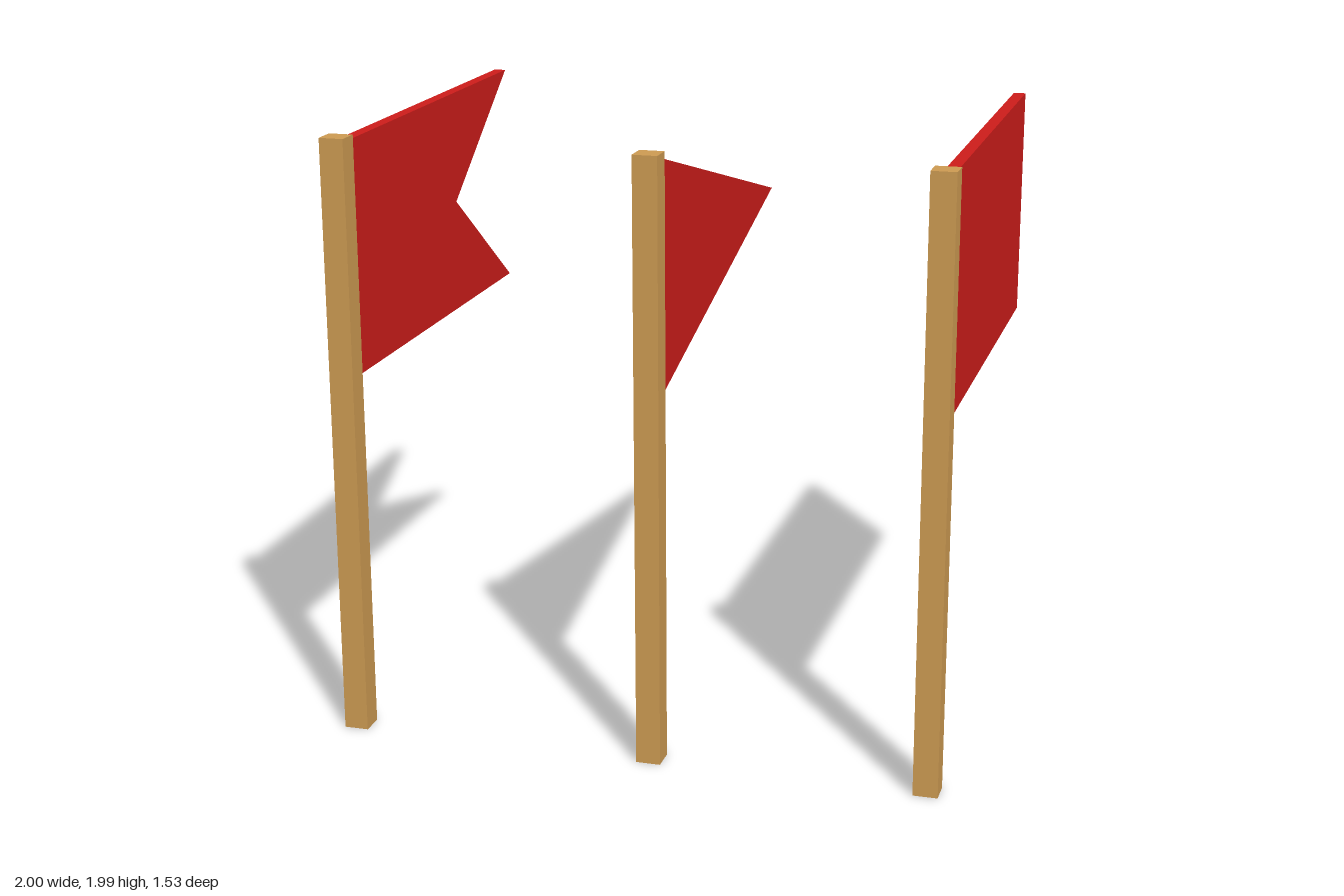
import * as THREE from 'three';

const POLE = 0.08, HEIGHT = 1.99, THICK = 0.04;
const POLE_Z = 0.725, FLAG_Z = POLE_Z - POLE / 2; // flags fly from the back of the pole
const LENGTH = 1.45, TOP = 1.97, BOTTOM = 1.2, MID = (TOP + BOTTOM) / 2;

// Flag outlines: distance from the pole, height
const flags = [
  { name: 'swallowtailFlag', x: -0.96, outline: [[0, BOTTOM], [LENGTH, BOTTOM], [0.92, MID], [LENGTH, TOP], [0, TOP]] },
  { name: 'triangularFlag', x: 0.055, outline: [[0, BOTTOM], [LENGTH, MID], [0, TOP]] },
  { name: 'rectangularFlag', x: 0.96, outline: [[0, BOTTOM], [LENGTH, BOTTOM], [LENGTH, TOP], [0, TOP]] },
];

export function createModel() {
  const model = new THREE.Group();
  model.name = 'flags';
  const wood = new THREE.MeshStandardMaterial({ color: 0xcc9a52 });
  const cloth = new THREE.MeshStandardMaterial({ color: 0xcc1c1a });

  for (const { name, x, outline } of flags) {
    const group = new THREE.Group();
    group.name = name;
    group.position.x = x;

    // Square wooden pole
    const pole = new THREE.Mesh(new THREE.BoxGeometry(POLE, HEIGHT, POLE), wood);
    pole.name = 'pole';
    pole.position.set(0, HEIGHT / 2, POLE_Z);

    // Flat cloth panel, turned to stream toward the back
    const shape = new THREE.Shape(outline.map(([u, y]) => new THREE.Vector2(u, y)));
    const geometry = new THREE.ExtrudeGeometry(shape, { depth: THICK, bevelEnabled: false });
    geometry.translate(0, 0, -THICK / 2).rotateY(Math.PI / 2);
    const panel = new THREE.Mesh(geometry, cloth);
    panel.name = 'cloth';
    panel.position.z = FLAG_Z;

    group.add(pole, panel);
    model.add(group);
  }
  return model;
}
